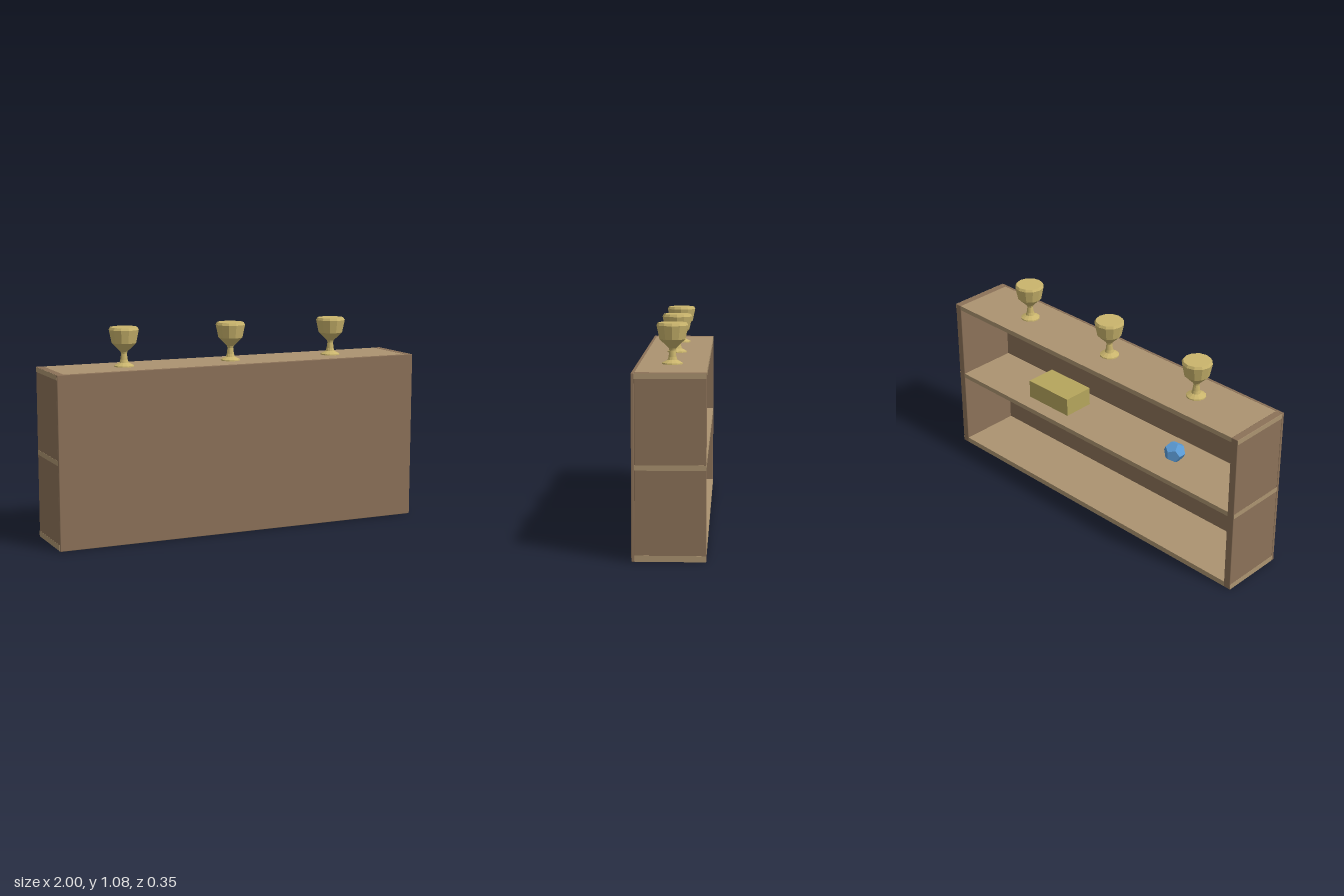
import * as THREE from 'three';
import { RoundedBoxGeometry } from 'three/addons/geometries/RoundedBoxGeometry.js';

const mat = (name, color, flatShading = false) => {
  const m = new THREE.MeshStandardMaterial({ color, flatShading });
  m.name = name;
  return m;
};

export function createModel() {
  const group = new THREE.Group();
  const darkWood = mat('darkWood', 0x8b7158);
  const lightWood = mat('lightWood', 0xab9370);
  const gold = mat('gold', 0xc9b46c, true);
  const brass = mat('brass', 0xb5a55c);
  const blue = mat('blue', 0x5b9bd5, true);

  const add = (name, geometry, material, x, y, z) => {
    const mesh = new THREE.Mesh(geometry, material);
    mesh.name = name;
    mesh.position.set(x, y, z);
    group.add(mesh);
    return mesh;
  };
  const board = (w, h, d) => new RoundedBoxGeometry(w, h, d, 1, 0.003);

  // Closed front panel and the two upright ends
  add('frontPanel', board(2, 0.881, 0.015), darkWood, 0, 0.4405, 0.1665);
  for (const s of [-1, 1]) {
    add(s > 0 ? 'leftEnd' : 'rightEnd', board(0.039, 0.881, 0.333), darkWood, s * 0.9795, 0.4405, -0.0075);
  }

  // Horizontal boards, whose ends show as strips through the uprights
  const boards = [['bottomBoard', 0.001, 0.03], ['middleShelf', 0.43, 0.455], ['topBoard', 0.855, 0.88]];
  for (const [name, y0, y1] of boards) {
    add(name, new THREE.BoxGeometry(2, y1 - y0, 0.332), lightWood, 0, (y0 + y1) / 2, -0.007);
  }

  // Three closed goblets along the top
  const profile = [
    [0, 0], [0.051, 0], [0.05, 0.006], [0.024, 0.02], [0.019, 0.035], [0.015, 0.066],
    [0.018, 0.076], [0.063, 0.12], [0.077, 0.187], [0.07, 0.2], [0, 0.2],
  ].map(([r, y]) => new THREE.Vector2(r, y));
  const goblet = new THREE.LatheGeometry(profile, 12);
  for (const x of [-0.59, 0, 0.59]) add('goblet', goblet, gold, x, 0.881, 0);

  // Objects kept on the middle shelf
  add('box', new THREE.BoxGeometry(0.29, 0.1, 0.17), brass, 0.37, 0.505, -0.005);
  add('ball', new THREE.DodecahedronGeometry(0.057), blue, -0.47, 0.504, -0.01);

  return group;
}
